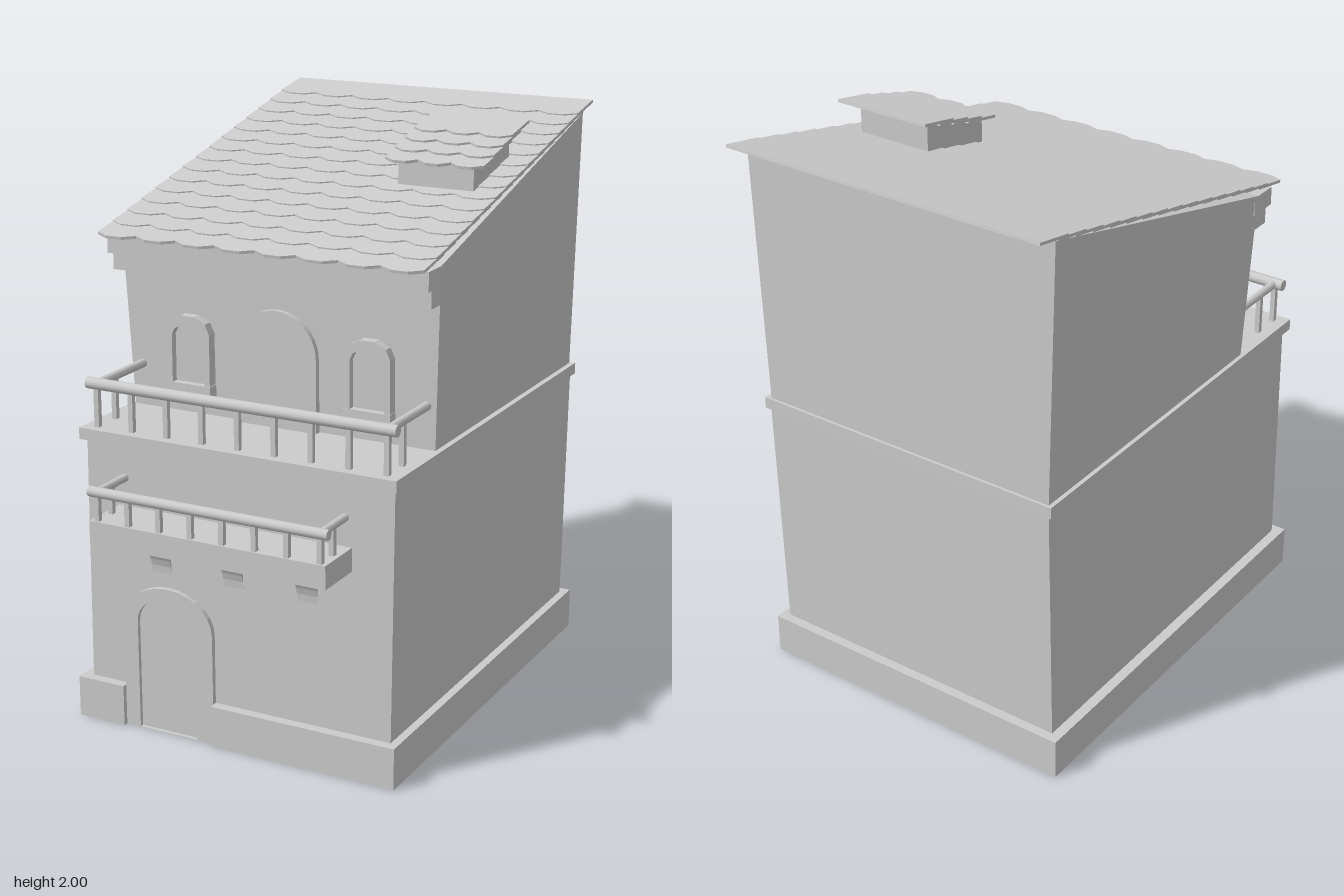
import * as THREE from 'three';
import { mergeGeometries } from 'three/addons/utils/BufferGeometryUtils.js';

const flat = new THREE.MeshStandardMaterial({ color: 0xcccccc, flatShading: true, side: THREE.DoubleSide });
const smooth = new THREE.MeshStandardMaterial({ color: 0xcccccc });

function add(parent, name, geometry, material = flat) {
  const mesh = new THREE.Mesh(geometry, material);
  mesh.name = name;
  parent.add(mesh);
  return mesh;
}

// Box given by its limits on each axis
function box(x0, x1, y0, y1, z0, z1) {
  return new THREE.BoxGeometry(x1 - x0, y1 - y0, z1 - z0)
    .translate((x0 + x1) / 2, (y0 + y1) / 2, (z0 + z1) / 2);
}

// Flat-shaded skin through a list of equally long cross-sections
function loft(rings, closed) {
  const pos = [];
  const n = rings[0].length;
  for (let r = 0; r < rings.length - 1; r++) {
    for (let i = 0; i < (closed ? n : n - 1); i++) {
      const j = (i + 1) % n;
      const [a, b, c, d] = [rings[r][i], rings[r][j], rings[r + 1][j], rings[r + 1][i]];
      pos.push(...a, ...b, ...c, ...a, ...c, ...d);
    }
  }
  const g = new THREE.BufferGeometry();
  g.setAttribute('position', new THREE.Float32BufferAttribute(pos, 3));
  g.computeVertexNormals();
  return g;
}

// Rectangular cross-section, counter-clockwise from above
const rect = (x0, x1, zBack, zFront, yBack, yFront = yBack) => [
  [x0, yFront, zFront], [x1, yFront, zFront], [x1, yBack, zBack], [x0, yBack, zBack]];

// Round rod between two points
function rod(a, b, r, sides = 12) {
  const from = new THREE.Vector3(...a), dir = new THREE.Vector3(...b).sub(from);
  const g = new THREE.CylinderGeometry(r, r, dir.length(), sides);
  g.applyQuaternion(new THREE.Quaternion().setFromUnitVectors(
    new THREE.Vector3(0, 1, 0), dir.clone().normalize()));
  return g.translate(...from.addScaledVector(dir, 0.5).toArray());
}

// Arched outline: straight sides, elliptical head
function archPoints(x, halfWidth, y0, spring, top, segments) {
  const pts = [new THREE.Vector2(x - halfWidth, y0), new THREE.Vector2(x + halfWidth, y0)];
  for (let i = 0; i <= segments; i++) {
    const t = Math.PI * i / segments;
    pts.push(new THREE.Vector2(x + halfWidth * Math.cos(t), spring + (top - spring) * Math.sin(t)));
  }
  return pts;
}

function extrude(points, z, depth, hole) {
  const shape = new THREE.Shape(points);
  if (hole) shape.holes.push(new THREE.Path(hole));
  return new THREE.ExtrudeGeometry(shape, { depth, bevelEnabled: false }).translate(0, 0, z);
}

// Overlapping rows of tongue-shaped tiles climbing toward the back
function tiles({ x0, width, columns, rows, z, y, dz, dy, length, slope }) {
  const h = width / 2, notch = 0.023;
  const outline = [[-h, notch], [-h * 0.4, 0], [h * 0.4, 0], [h, notch], [h, length], [-h, length]]
    .map(p => new THREE.Vector2(...p));
  const tile = extrude(outline, 0, 0.01).rotateX(-Math.PI / 2 + Math.atan(slope));
  const parts = [];
  for (let r = 0; r < rows; r++)
    for (let c = 0; c < columns; c++)
      parts.push(tile.clone().translate(x0 + width * (c + 0.5), y + dy * r, z - dz * r));
  return mergeGeometries(parts);
}

// Three-sided railing with posts, a thick front rail and thinner side rails
function railing(name, { x0, x1, inset, zFront, zWall, yBase, yRail, r, posts, sidePost }) {
  const g = new THREE.Group();
  g.name = name;
  add(g, 'frontRail', rod([x0, yRail, zFront], [x1, yRail, zFront], r), smooth);
  const left = x0 + inset, right = x1 - inset;
  const post = (x, z) => add(g, 'post', box(x - 0.009, x + 0.009, yBase, yRail, z - 0.009, z + 0.009));
  for (let i = 0; i < posts; i++) post(left + (right - left) * i / (posts - 1), zFront);
  for (const x of [left, right]) {
    add(g, 'sideRail', rod([x, yRail, zFront], [x, yRail, zWall], r * 0.75), smooth);
    post(x, sidePost);
  }
  return g;
}

export function createModel() {
  const house = new THREE.Group();
  house.name = 'house';

  // Plinth, interrupted at the doorway
  const path = [[-0.08, 0.68], [-0.08, 0.725], [0.6, 0.725], [0.6, -0.795],
    [-0.605, -0.795], [-0.605, 0.725], [-0.425, 0.725], [-0.425, 0.68]];
  const inner = [[-0.08, 0.68], [-0.08, 0.68], [0.56, 0.68], [0.56, -0.75],
    [-0.56, -0.75], [-0.56, 0.68], [-0.425, 0.68], [-0.425, 0.68]];
  const level = (pts, y) => pts.map(([x, z]) => [x, y, z]);
  add(house, 'plinth', loft([level(path, 0), level(path, 0.145), level(inner, 0.145)], false));

  // Ground storey (open below) and floor band
  add(house, 'lowerWalls', loft([rect(-0.57, 0.57, -0.76, 0.69, 0), rect(-0.56, 0.58, -0.77, 0.69, 1.01)], true));
  add(house, 'floorBand', box(-0.575, 0.595, 1.005, 1.045, -0.78, 0.715));

  // Upper storey with sloping top
  const eaves = rect(-0.59, 0.59, -0.78, 0.4, 1.965, 1.655);
  const ridge = rect(0, 0, -0.19, -0.19, 1.81);
  add(house, 'upperWalls', loft([rect(-0.56, 0.575, -0.77, 0.39, 1.04), eaves, ridge], true));
  add(house, 'upperCornice', box(-0.59, 0.59, 1.59, 1.655, 0.38, 0.49));
  add(house, 'lowerCornice', box(-0.585, 0.588, 1.53, 1.59, 0.38, 0.465));

  // Main roof
  add(house, 'roofTiles', tiles({ x0: -0.6, width: 0.149, columns: 8, rows: 15,
    z: 0.55, y: 1.655, dz: 0.0897, dy: 0.0216, length: 0.169, slope: 0.19 }));

  // Roof hatch with its own small tiled roof
  const hatch = new THREE.Group();
  hatch.name = 'roofHatch';
  add(hatch, 'hatchWalls', loft([rect(0.225, 0.5, -0.33, -0.04, 1.8), rect(0.225, 0.5, -0.33, -0.04, 1.975, 1.9)], true));
  add(hatch, 'hatchTiles', tiles({ x0: 0.19, width: 0.12, columns: 3, rows: 4,
    z: 0.01, y: 1.885, dz: 0.075, dy: 0.022, length: 0.173, slope: 0.2 }));
  house.add(hatch);

  // Front door
  add(house, 'doorFrame', extrude(archPoints(-0.2525, 0.1725, 0, 0.39, 0.525, 14), 0.68, 0.028,
    archPoints(-0.2575, 0.1125, 0.001, 0.39, 0.485, 14)));
  add(house, 'doorPanel', extrude(archPoints(-0.2575, 0.1125, 0, 0.39, 0.485, 14), 0.685, 0.009));

  // Terrace door and windows
  add(house, 'terraceDoor', extrude(archPoints(0.005, 0.15, 1.045, 1.295, 1.445, 20), 0.385, 0.03));
  for (const x of [-0.322, 0.348]) {
    const w = new THREE.Group();
    w.name = 'window';
    add(w, 'windowFrame', extrude(archPoints(x, 0.083, 1.13, 1.335, 1.393, 5), 0.385, 0.045,
      archPoints(x, 0.062, 1.15, 1.32, 1.36, 5)));
    add(w, 'windowPane', extrude(archPoints(x, 0.07, 1.13, 1.325, 1.37, 5), 0.385, 0.02));
    add(w, 'windowSill', box(x - 0.085, x + 0.085, 1.11, 1.155, 0.385, 0.432));
    house.add(w);
  }

  // Terrace railing
  house.add(railing('terraceRailing', { x0: -0.56, x1: 0.58, inset: 0.035, zFront: 0.675, zWall: 0.39,
    yBase: 1.04, yRail: 1.193, r: 0.02, posts: 9, sidePost: 0.57 }));

  // Balcony on curved brackets
  const balcony = new THREE.Group();
  balcony.name = 'balcony';
  add(balcony, 'balconyFloor', box(-0.44, 0.43, 0.71, 0.79, 0.68, 0.87));
  balcony.add(railing('balconyRailing', { x0: -0.445, x1: 0.435, inset: 0.03, zFront: 0.855, zWall: 0.68,
    yBase: 0.785, yRail: 0.888, r: 0.018, posts: 8, sidePost: 0.775 }));
  const profile = [new THREE.Vector2(0.68, 0.575), new THREE.Vector2(0.68, 0.712), new THREE.Vector2(0.815, 0.712)];
  for (let i = 0; i <= 8; i++) {
    const t = Math.PI / 2 * (1 + i / 8);
    profile.push(new THREE.Vector2(0.815 + 0.125 * Math.cos(t), 0.575 + 0.125 * Math.sin(t)));
  }
  for (const x of [-0.28, -0.005, 0.27])
    add(balcony, 'bracket', extrude(profile, -0.037, 0.074).rotateY(-Math.PI / 2).translate(x, 0, 0));
  house.add(balcony);

  return house;
}
